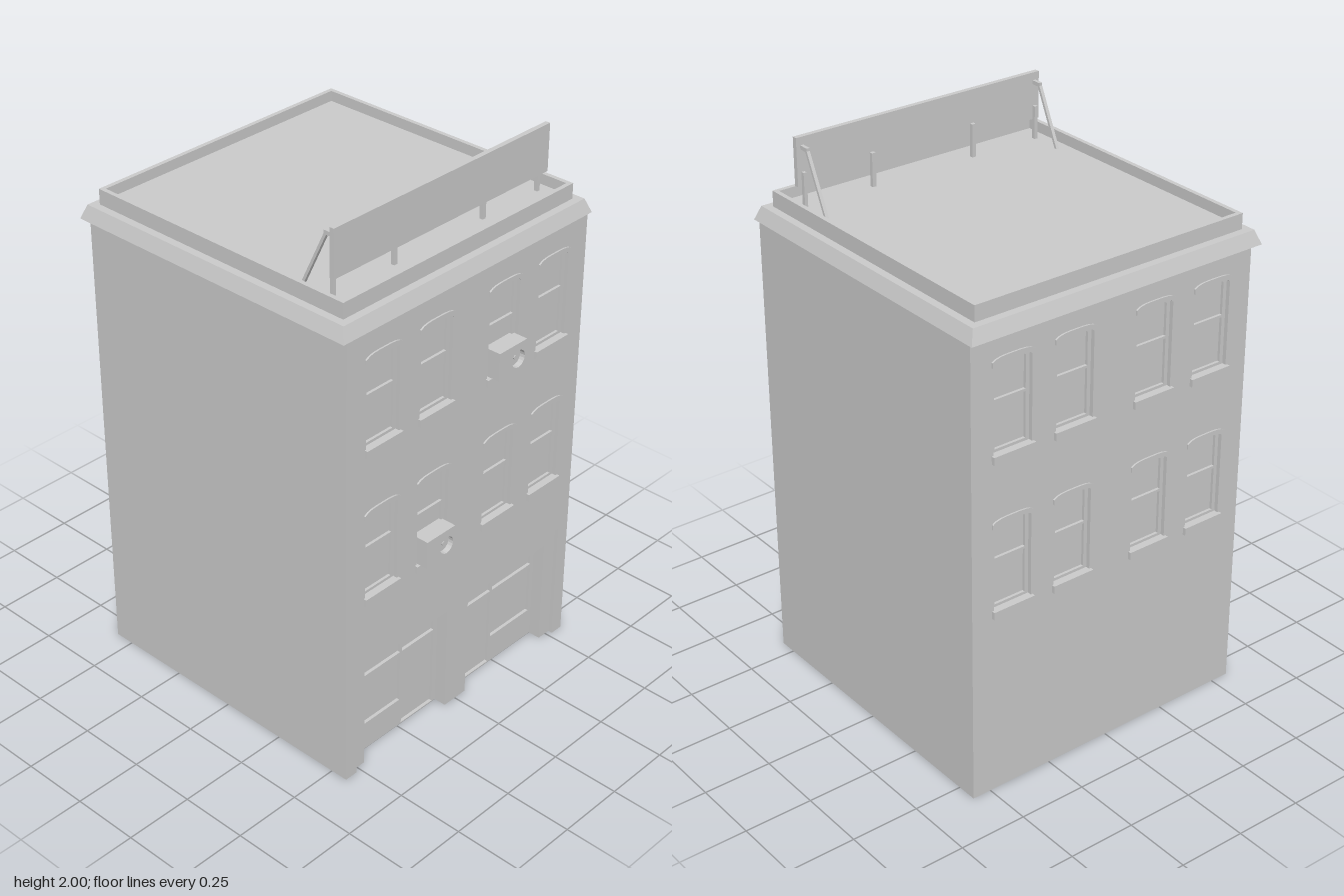
import * as THREE from 'three';

const mat = new THREE.MeshStandardMaterial({ color: 0xcccccc, flatShading: true, side: THREE.DoubleSide });
const HALF = 0.57, WALL_TOP = 1.7, ZC = -0.005;
const WINDOW_X = [-0.408, -0.163, 0.163, 0.408];
const FLOORS = [0.71, 1.277]; // top of the sills

function add(parent, name, geo, x = 0, y = 0, z = 0) {
  const m = new THREE.Mesh(geo, mat);
  m.name = name;
  m.position.set(x, y, z);
  parent.add(m);
  return m;
}
const box = (parent, name, w, h, d, x, y, z) => add(parent, name, new THREE.BoxGeometry(w, h, d), x, y, z);
const poly = (pts) => new THREE.Shape(pts.map(([x, y]) => new THREE.Vector2(x, y)));
const rect = (x0, y0, x1, y1) => poly([[x0, y0], [x1, y0], [x1, y1], [x0, y1]]);

// Extrusion whose front face lies at z = 0 and which runs back by depth
function slab(shape, depth, holes = []) {
  shape.holes.push(...holes);
  return new THREE.ExtrudeGeometry(shape, { depth, bevelEnabled: false, curveSegments: 4 }).translate(0, 0, -depth);
}

// Upright rectangle with a slightly arched top
function arched(cx, y0, w, top, rise = 0.016) {
  const s = new THREE.Shape(), h = w / 2, side = top - rise;
  s.moveTo(cx - h, y0);
  s.lineTo(cx + h, y0);
  s.lineTo(cx + h, side);
  s.bezierCurveTo(cx + h * 0.85, top, cx + h * 0.5, top, cx, top);
  s.bezierCurveTo(cx - h * 0.5, top, cx - h * 0.85, top, cx - h, side);
  s.lineTo(cx - h, y0);
  return s;
}

// Sash window: recessed frame, two panes, arched lintel and sill
function makeWindow() {
  const g = new THREE.Group();
  g.name = 'window';
  const panes = [rect(-0.061, 0.01, 0.061, 0.173), arched(0, 0.182, 0.122, 0.309, 0.01)];
  add(g, 'sash', slab(arched(0, 0, 0.152, 0.32), 0.01, panes), 0, 0, -0.015);
  add(g, 'glass', new THREE.PlaneGeometry(0.14, 0.31), 0, 0.156, -0.026);
  const h = 0.082, lintel = new THREE.Shape();
  lintel.moveTo(-h, 0.304);
  lintel.bezierCurveTo(-h * 0.8, 0.318, -h * 0.5, 0.32, 0, 0.32);
  lintel.bezierCurveTo(h * 0.5, 0.32, h * 0.8, 0.318, h, 0.304);
  lintel.lineTo(h, 0.322);
  lintel.bezierCurveTo(h * 0.8, 0.336, h * 0.5, 0.336, 0, 0.336);
  lintel.bezierCurveTo(-h * 0.5, 0.336, -h * 0.8, 0.336, -h, 0.322);
  add(g, 'lintel', slab(lintel, 0.02), 0, 0, 0.006);
  box(g, 'sill', 0.165, 0.028, 0.035, 0, -0.014, -0.005);
  return g;
}

// Wall with eight windows, facing +z
function makeFacade(name, outline) {
  const g = new THREE.Group();
  g.name = name;
  const holes = [];
  for (const y of FLOORS) for (const x of WINDOW_X) {
    holes.push(arched(x, y, 0.15, y + 0.32));
    const w = makeWindow();
    w.position.set(x, y, 0);
    g.add(w);
  }
  add(g, 'wall', slab(outline, 0.02, holes));
  g.position.z = HALF;
  return g;
}

// Shop bay: window and door under two transom lights
function makeBay() {
  const g = new THREE.Group();
  g.name = 'shopBay';
  const holes = [
    rect(-0.45, 0.11, -0.24, 0.302),
    rect(-0.45, 0.316, -0.24, 0.4),
    rect(-0.23, 0.316, -0.07, 0.4),
    rect(-0.23, 0.004, -0.07, 0.302),
  ];
  add(g, 'bayFrame', slab(rect(-0.466, 0, -0.052, 0.412), 0.012, holes), 0, 0, -0.062);
  add(g, 'bayGlass', new THREE.PlaneGeometry(0.41, 0.41), -0.259, 0.205, -0.075);
  return g;
}

function makeStorefront() {
  const g = new THREE.Group();
  g.name = 'storefront';
  const surround = poly([
    [-0.52, 0], [-0.465, 0], [-0.465, 0.41], [-0.053, 0.41], [-0.053, 0], [0.053, 0],
    [0.053, 0.41], [0.465, 0.41], [0.465, 0], [0.52, 0], [0.52, 0.466], [-0.52, 0.466],
  ]);
  add(g, 'surround', slab(surround, 0.05), 0, 0, -0.016);
  for (const side of [1, -1]) {
    const bay = makeBay();
    bay.scale.x = side;
    g.add(bay);
  }
  g.position.z = HALF;
  return g;
}

// Window air conditioner with a round recessed fan
function makeAirConditioner(x, y) {
  const g = new THREE.Group();
  g.name = 'airConditioner';
  const fan = new THREE.Path().absarc(0.028, -0.007, 0.032, 0, Math.PI * 2, true);
  const geo = new THREE.ExtrudeGeometry(
    Object.assign(rect(-0.068, -0.052, 0.068, 0.052), { holes: [fan] }),
    { depth: 0.02, bevelEnabled: false, curveSegments: 10 });
  add(g, 'casingFront', geo, 0, 0, 0.02);
  box(g, 'casing', 0.136, 0.104, 0.045, 0, 0, -0.0025);
  add(g, 'fanHub', new THREE.CylinderGeometry(0.007, 0.007, 0.01, 8).rotateX(Math.PI / 2), 0.028, -0.007, 0.022);
  g.position.set(x, y, 0.565);
  return g;
}

// Rooftop board on two posts and two braced struts
function makeSign() {
  const g = new THREE.Group();
  g.name = 'roofSign';
  box(g, 'board', 1, 0.17, 0.018, 0, 1.915, 0.437);
  for (const s of [-1, 1]) {
    box(g, 'post', 0.015, 0.12, 0.014, s * 0.208, 1.82, 0.422);
    box(g, 'strutArm', 0.012, 0.014, 0.04, s * 0.479, 1.965, 0.411);
    const dy = 0.21, dz = 0.1;
    const brace = box(g, 'brace', 0.012, Math.hypot(dy, dz), 0.01, s * 0.479, 1.965 - dy / 2, 0.398 - dz / 2);
    brace.rotation.x = Math.atan2(dz, dy);
    box(g, 'outerPost', 0.012, 0.12, 0.014, s * 0.479, 1.82, 0.422);
  }
  return g;
}

export function createModel() {
  const model = new THREE.Group();
  model.name = 'building';

  // Walls, open underneath
  const shell = new THREE.Group();
  shell.name = 'shell';
  shell.position.z = ZC;
  model.add(shell);
  const notched = poly([
    [-HALF, 0], [-0.52, 0], [-0.52, 0.466], [0.52, 0.466], [0.52, 0], [HALF, 0],
    [HALF, WALL_TOP], [-HALF, WALL_TOP],
  ]);
  shell.add(makeFacade('frontWall', notched), makeStorefront());
  const back = makeFacade('backWall', rect(-HALF, 0, HALF, WALL_TOP));
  back.position.z = -HALF;
  back.rotation.y = Math.PI;
  shell.add(back);
  for (const s of [-1, 1]) {
    const side = add(shell, 'sideWall', new THREE.PlaneGeometry(2 * HALF, WALL_TOP), s * HALF, WALL_TOP / 2, 0);
    side.rotation.y = s * Math.PI / 2;
  }

  // Cornice, parapet and roof deck
  const r = Math.SQRT2;
  add(model, 'cornice', new THREE.CylinderGeometry(0.568 * r, 0.587 * r, 0.05, 4).rotateY(Math.PI / 4), 0, 1.717, -0.018);
  const ring = slab(rect(-0.54, -0.54, 0.54, 0.54), 0.06, [rect(-0.524, -0.524, 0.524, 0.524)]);
  add(model, 'parapet', ring.rotateX(-Math.PI / 2), 0, 1.798, -0.018);
  add(model, 'roofDeck', new THREE.PlaneGeometry(1.06, 1.06).rotateX(-Math.PI / 2), 0, 1.76, -0.018);

  model.add(makeSign(), makeAirConditioner(0.167, 1.328), makeAirConditioner(-0.163, 0.762));
  return model;
}
